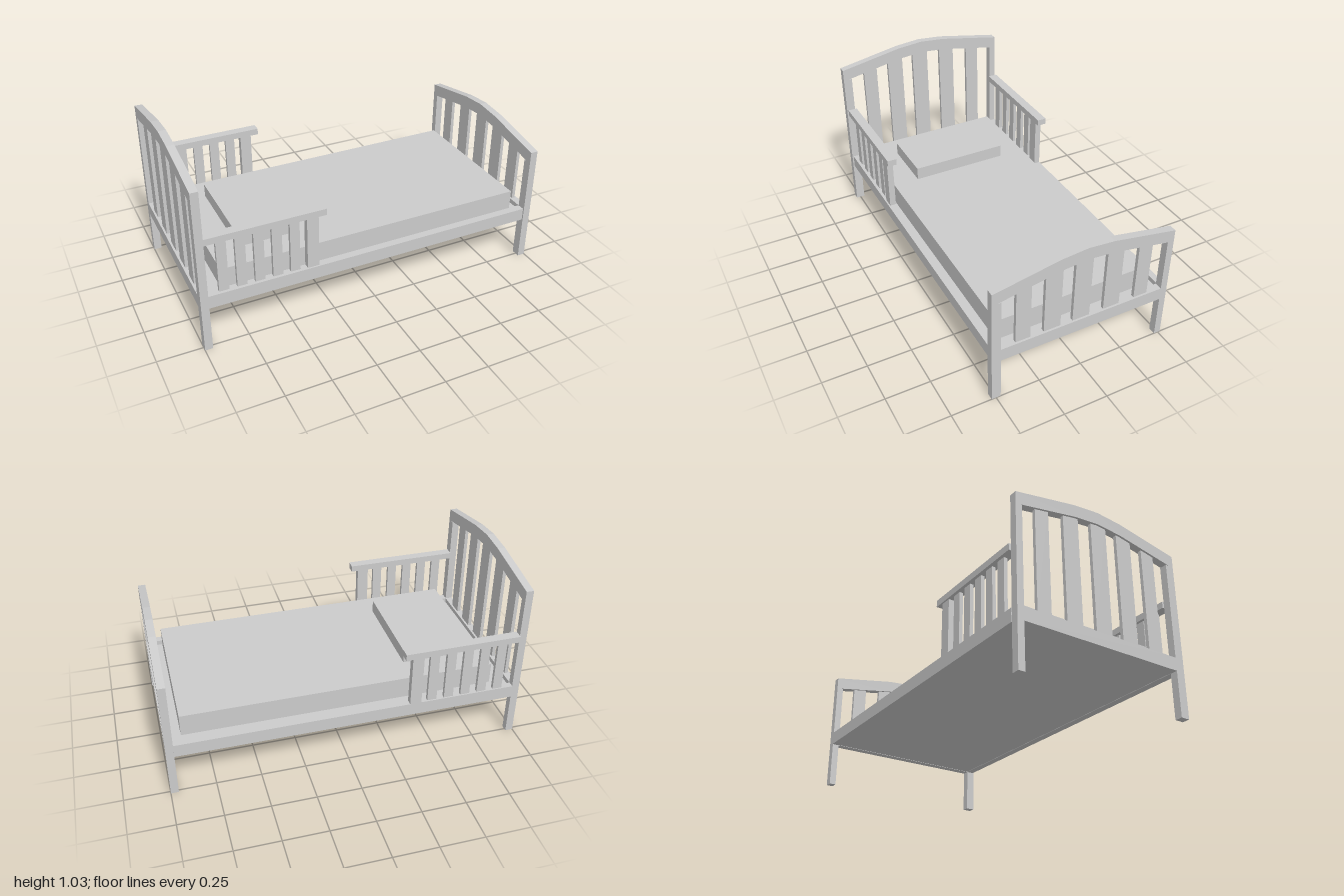
import * as THREE from 'three';

const material = new THREE.MeshStandardMaterial({ color: 0xcccccc, flatShading: true, side: THREE.DoubleSide });

// Box given by its min/max extent on each axis
function box(parent, name, [x0, x1], [y0, y1], [z0, z1]) {
  const mesh = new THREE.Mesh(new THREE.BoxGeometry(x1 - x0, y1 - y0, z1 - z0), material);
  mesh.position.set((x0 + x1) / 2, (y0 + y1) / 2, (z0 + z1) / 2);
  mesh.name = name;
  parent.add(mesh);
}

const MID = 0.005; // centre line of the frame in z
const HALF = 0.52;
const RAIL = [0.253, 0.327];

// Height of the arch's underside above its ends, at a distance from the centre line
function archRise(d) {
  return d < 0.15 ? 0.081 - 0.013 * (d / 0.15) : 0.068 * (HALF - d) / (HALF - 0.15);
}

// Head or foot end: legs, cross rail, slats and arched top rail
function endBoard(name, x, archBase) {
  const board = new THREE.Group();
  board.name = name;
  const [x0, x1] = x;
  const mid = (x0 + x1) / 2;

  box(board, 'frontPost', x, [0, archBase + 0.005], [0.474, 0.525]);
  box(board, 'backPost', x, [0, archBase + 0.005], [-0.515, -0.477]);
  box(board, 'crossRail', x, RAIL, [-0.477, 0.474]);

  const slats = [[0.305, 0.389], [0.133, 0.229], [-0.037, 0.062], [-0.217, -0.121], [-0.392, -0.31]];
  for (const z of slats) {
    const top = archBase + archRise(Math.abs((z[0] + z[1]) / 2 - MID)) + 0.02;
    box(board, 'slat', [mid - 0.01, mid + 0.01], [RAIL[1], top], z);
  }

  // Arch profile drawn in (-z, y), then turned to run across the bed
  const stations = [-HALF, -0.15, 0, 0.15, HALF];
  const lower = stations.map(s => new THREE.Vector2(s - MID, archBase + archRise(Math.abs(s))));
  const upper = lower.map(p => new THREE.Vector2(p.x, p.y + 0.071)).reverse();
  const geometry = new THREE.ExtrudeGeometry(new THREE.Shape([...lower, ...upper]), { depth: x1 - x0, bevelEnabled: false });
  geometry.rotateY(Math.PI / 2);
  const arch = new THREE.Mesh(geometry, material);
  arch.position.x = x0;
  arch.name = 'archedRail';
  board.add(arch);
  return board;
}

// Short safety rail beside the pillow
function guardRail(name, z) {
  const guard = new THREE.Group();
  guard.name = name;
  const mid = (z[0] + z[1]) / 2;
  box(guard, 'handRail', [-0.957, -0.3], [0.633, 0.67], z);
  for (let i = 0; i < 5; i++) {
    const x = -0.865 + i * 0.098;
    box(guard, 'guardSlat', [x - 0.027, x + 0.027], [RAIL[1], 0.633], [mid - 0.01, mid + 0.01]);
  }
  box(guard, 'guardPost', [-0.408, -0.343], [RAIL[1], 0.633], [mid - 0.018, mid + 0.018]);
  return guard;
}

export function createModel() {
  const bed = new THREE.Group();
  bed.name = 'toddlerBed';

  bed.add(endBoard('headboard', [-1, -0.957], 0.875));
  bed.add(endBoard('footboard', [0.957, 1], 0.63));

  // Side rails and base
  box(bed, 'frontSideRail', [-0.957, 0.957], RAIL, [0.473, 0.517]);
  box(bed, 'backSideRail', [-0.957, 0.957], RAIL, [-0.518, -0.482]);
  box(bed, 'basePanel', [-0.957, 0.957], [0.255, 0.3], [-0.482, 0.473]);

  // Bedding
  box(bed, 'mattress', [-0.865, 0.905], [0.3, 0.425], [-0.41, 0.453]);
  box(bed, 'pillow', [-0.715, -0.39], [0.425, 0.5], [-0.262, 0.303]);

  bed.add(guardRail('frontGuard', [0.463, 0.517]));
  bed.add(guardRail('backGuard', [-0.527, -0.473]));
  return bed;
}
